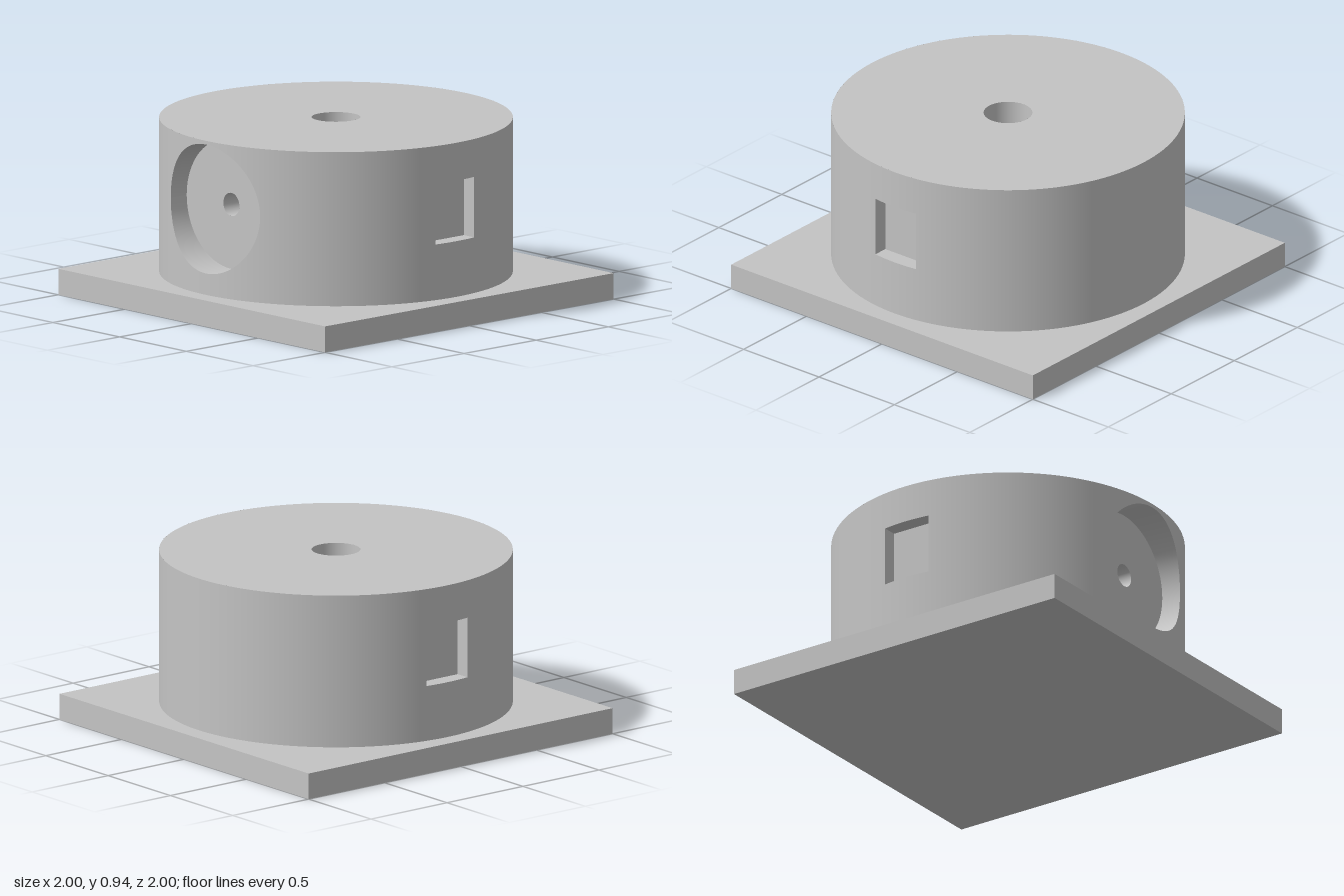
import * as THREE from 'three';

const R = 0.9, BASE = 0.135, TOP = 0.935, MID = 0.581;

// Openings cut into the drum wall, in order of angle from the front (+z towards +x)
const POCKET = { half: 0.135, height: () => 0.157, floor: 0.812, square: true };
const BORE = { half: 0.335, height: u => Math.sqrt(Math.max(0, 0.335 ** 2 - u * u)), floor: 0.725, square: false };
const OPENINGS = [
  { name: 'frontPocket', angle: 0, ...POCKET },
  { name: 'backPocket', angle: Math.PI, ...POCKET },
  { name: 'sideBore', angle: Math.PI * 1.5, ...BORE },
];
const STEPS = 32;
const across = o => Array.from({ length: STEPS + 1 }, (_, i) => -o.half * Math.cos(Math.PI * i / STEPS));

// Surface between two rows of points
function loft(a, b) {
  const n = a.length, index = [];
  for (let i = 0; i < n - 1; i++) index.push(i, i + 1, n + i + 1, i, n + i + 1, n + i);
  const g = new THREE.BufferGeometry();
  g.setAttribute('position', new THREE.Float32BufferAttribute([...a, ...b].flat(), 3));
  g.setIndex(index);
  g.computeVertexNormals();
  return g;
}

// Curved wall as two bands that part around each opening
function wallBands() {
  const columns = [];
  OPENINGS.forEach((o, k) => {
    const edge = Math.asin(o.half / R);
    columns.push([o.angle - edge, 0]);
    for (const u of across(o)) columns.push([o.angle + Math.asin(u / R), o.height(u)]);
    columns.push([o.angle + edge, 0]);
    const next = OPENINGS[(k + 1) % OPENINGS.length];
    const start = o.angle + edge;
    const end = next.angle - Math.asin(next.half / R) + (k === OPENINGS.length - 1 ? Math.PI * 2 : 0);
    const n = Math.ceil((end - start) / 0.05);
    for (let i = 1; i <= n; i++) columns.push([start + (end - start) * i / n, 0]);
  });
  const row = y => columns.map(([t, h]) => [R * Math.sin(t), y(h), R * Math.cos(t)]);
  const bands = [
    loft(row(() => BASE), row(h => MID - h)),
    loft(row(h => MID + h), row(() => TOP)),
  ];
  for (const g of bands) {
    const p = g.attributes.position;
    for (let i = 0; i < p.count; i++) g.attributes.normal.setXYZ(i, p.getX(i) / R, 0, p.getZ(i) / R);
  }
  return bands;
}

function shapeWithHole(shape, radius) {
  if (radius) shape.holes.push(new THREE.Path().absarc(0, 0, radius, 0, Math.PI * 2, true));
  return new THREE.ShapeGeometry(shape, 64);
}

export function createModel() {
  const grey = new THREE.MeshStandardMaterial({ color: 0xc4c4c4, side: THREE.DoubleSide });
  grey.name = 'plain grey';
  const model = new THREE.Group();
  const add = (parent, name, geometry) => {
    const mesh = new THREE.Mesh(geometry, grey);
    mesh.name = name;
    parent.add(mesh);
    return mesh;
  };

  // Blind round hole sinking along -y from its own origin
  const drill = (parent, name, radius, depth) => {
    const hole = new THREE.Group();
    hole.name = name;
    add(hole, name + 'Wall', new THREE.CylinderGeometry(radius, radius, depth, 48, 1, true)).position.y = -depth / 2;
    add(hole, name + 'Floor', new THREE.CircleGeometry(radius, 48).rotateX(-Math.PI / 2)).position.y = -depth;
    parent.add(hole);
    return hole;
  };

  // Square base plate
  add(model, 'basePlate', new THREE.BoxGeometry(2, BASE, 2)).position.y = BASE / 2;

  // Drum with a drilled top
  wallBands().forEach((g, i) => add(model, i ? 'upperDrumWall' : 'lowerDrumWall', g));
  const disc = new THREE.Shape().absarc(0, 0, R, 0, Math.PI * 2);
  add(model, 'drumTop', shapeWithHole(disc, 0.124).rotateX(-Math.PI / 2)).position.y = TOP;
  drill(model, 'topHole', 0.124, 0.4).position.y = TOP;

  // Lining and flat floor of each opening
  for (const o of OPENINGS) {
    const recess = new THREE.Group();
    recess.name = o.name;
    recess.rotation.y = o.angle;
    recess.position.y = MID;
    const us = across(o);
    const outline = [
      ...us.map(u => [u, -o.height(u)]),
      ...us.slice().reverse().map(u => [u, o.height(u)]),
    ];
    outline.push(outline[0]);
    if (!o.square) outline.splice(STEPS, 1);
    let lining = loft(
      outline.map(([u, v]) => [u, v, Math.sqrt(R * R - u * u)]),
      outline.map(([u, v]) => [u, v, o.floor]),
    );
    if (o.square) {
      lining = lining.toNonIndexed();
      lining.computeVertexNormals();
    }
    add(recess, o.name + 'Lining', lining);
    const face = new THREE.Shape(outline.slice(0, -1).map(([u, v]) => new THREE.Vector2(u, v)));
    add(recess, o.name + 'Floor', shapeWithHole(face, o.square ? 0 : 0.06)).position.z = o.floor;
    if (!o.square) {
      const pin = drill(recess, 'pinHole', 0.06, 0.4);
      pin.rotation.x = Math.PI / 2;
      pin.position.z = o.floor;
    }
    model.add(recess);
  }
  return model;
}
